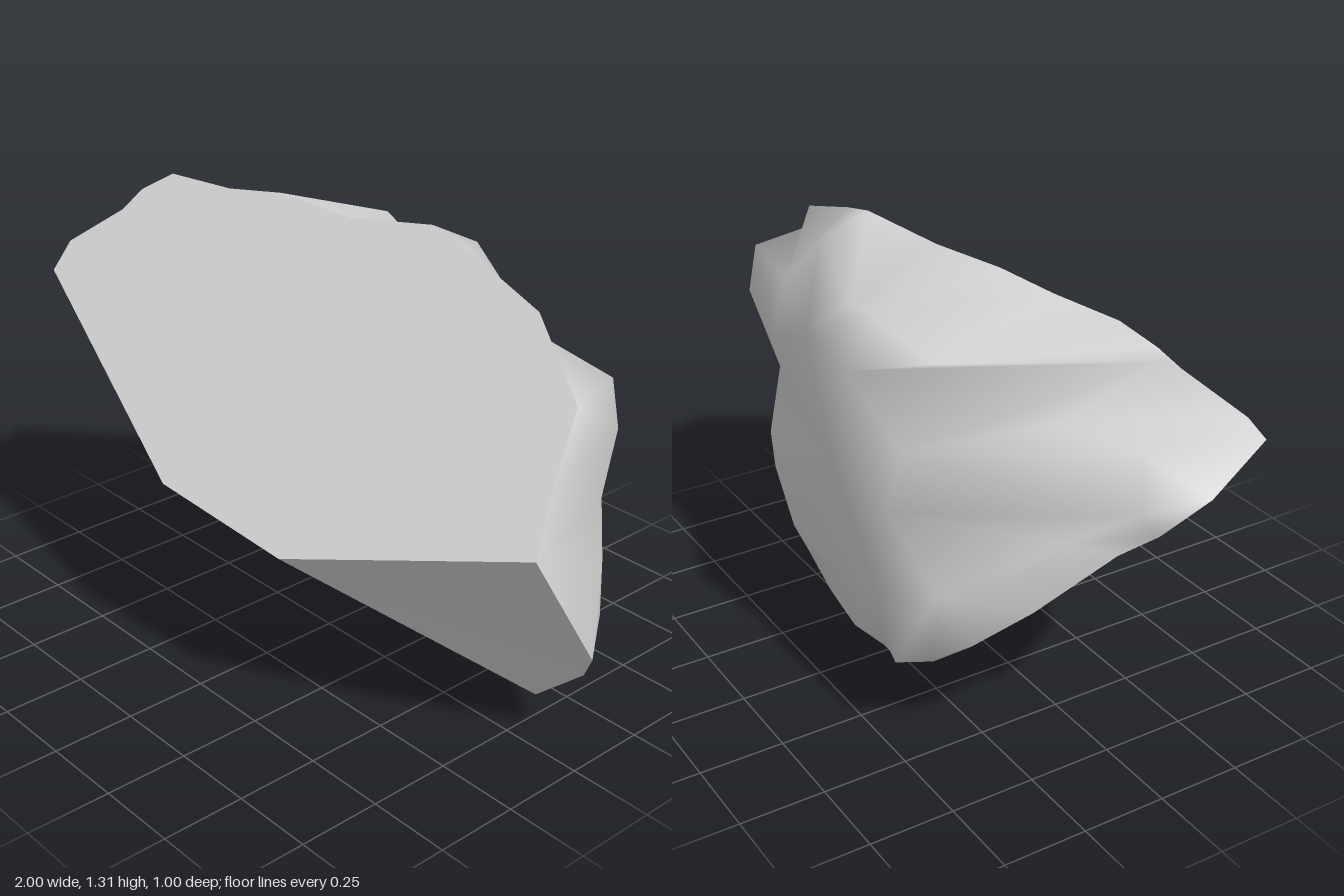
import * as THREE from 'three';

const stone = new THREE.MeshStandardMaterial({ color: 0xd9d9d9 });
stone.name = 'stone grey';

// Cut planes z = a + b x + c y
const PLANES = {
  top: [0.971, -0.163, -0.845],
  left: [-0.38, 1.043, 1.73],
  middle: [-0.286, 0.092, 1.333],
  right: [0.3, -0.556, 0.626],
};
const onPlane = (name, pts) => {
  const [a, b, c] = PLANES[name];
  return pts.map(([x, y]) => [x, y, a + b * x + c * y]);
};

function meshFrom(name, points, index) {
  const g = new THREE.BufferGeometry();
  g.setAttribute('position', new THREE.Float32BufferAttribute(points.flat(), 3));
  g.setIndex(index);
  g.computeVertexNormals();
  const mesh = new THREE.Mesh(g, stone);
  mesh.name = name;
  return mesh;
}

// Flat facet: counter-clockwise outline seen from the front
function facet(name, pts) {
  const outline = pts.map(([x, y]) => new THREE.Vector2(x, y));
  return meshFrom(name, pts, THREE.ShapeUtils.triangulateShape(outline, []).flat());
}

// Join two loops of different counts by their angle around the middle
function zip(points, outer, inner, index) {
  const angle = (loop, k) => {
    const [x, y] = points[loop[k % loop.length]];
    const turn = 2 * Math.PI;
    return ((Math.atan2(y - 0.68, x) + 0.2 + turn) % turn) + (k >= loop.length ? turn : 0);
  };
  let i = 0, j = 0;
  while (i < outer.length || j < inner.length) {
    const a = outer[i % outer.length], b = inner[j % inner.length];
    const stepOuter = j >= inner.length ||
      (i < outer.length && angle(outer, i + 1) <= angle(inner, j + 1));
    if (stepOuter) index.push(a, b, outer[++i % outer.length]);
    else index.push(a, b, inner[++j % inner.length]);
  }
}

export function createModel() {
  const group = new THREE.Group();
  group.name = 'rock';

  // Rim stretches, counter-clockwise seen from the front
  const topRim = onPlane('top', [
    [0.995, 0.72], [0.94, 0.86], [0.89, 1.03], [0.66, 1.19], [0.36, 1.28], [0.23, 1.31],
    [-0.03, 1.28], [-0.3, 1.295], [-0.48, 1.275], [-0.71, 1.275], [-0.79, 1.22],
    [-0.82, 1.16], [-0.95, 1.05], [-0.95, 0.97]]);
  const leftRim = onPlane('left', [
    [-1, 0.88], [-0.94, 0.78], [-0.84, 0.69], [-0.73, 0.52], [-0.6, 0.38],
    [-0.48, 0.28], [-0.2, 0.13], [-0.08, 0.08], [0.12, 0]]);
  const middleRim = onPlane('middle', [[0.4, 0], [0.47, 0.035], [0.6, 0.07], [0.79, 0.11]]);
  const rightRim = onPlane('right', [[0.95, 0.25], [0.995, 0.33]]);

  // Front corners where the cuts meet
  const cornerA = [-0.15, 0.595, 0.495];
  const cornerB = [0.32, 0.54, 0.463];

  group.add(
    facet('upperCut', [...topRim, cornerA, cornerB]),
    facet('lowerLeftCut', [topRim.at(-1), ...leftRim, cornerA]),
    facet('lowerMiddleCut', [cornerA, leftRim.at(-1), ...middleRim, cornerB]),
    facet('lowerRightCut', [cornerB, middleRim.at(-1), ...rightRim, topRim[0]]),
  );

  // Smooth weathered back: rim, shoulder ring, inner ring, middle
  const loops = [
    [...topRim, ...leftRim, ...middleRim, ...rightRim],
    [[0.96, 0.6, -0.1], [0.91, 0.75, -0.14], [0.84, 0.88, -0.275], [0.83, 1.03, -0.25],
      [0.5, 1.04, -0.31], [0.27, 1.24, -0.31], [0.02, 1.14, -0.35], [-0.19, 1.195, -0.4],
      [-0.42, 1.13, -0.35], [-0.83, 1.2, 0.05], [-0.7, 1.03, -0.17], [-0.87, 0.98, -0.02],
      [-0.92, 0.84, -0.055], [-0.76, 0.72, -0.17], [-0.6, 0.57, -0.455], [-0.43, 0.28, -0.485],
      [-0.22, 0.2, -0.4], [-0.02, 0.14, -0.39], [0.25, 0.1, -0.33], [0.45, 0.13, -0.3],
      [0.6, 0.18, -0.26], [0.82, 0.3, -0.2], [0.95, 0.42, -0.12]],
    [[0.57, 0.73, -0.31], [0.44, 0.9, -0.395], [0.2, 1.0, -0.4], [-0.22, 1.07, -0.5],
      [-0.42, 0.91, -0.45], [-0.4, 0.73, -0.485], [-0.3, 0.4, -0.455], [0, 0.32, -0.41],
      [0.35, 0.3, -0.395], [0.45, 0.46, -0.4], [0.6, 0.5, -0.34]],
  ];
  const points = [], index = [];
  const ids = loops.map((loop) => loop.map((p) => points.push(p) - 1));
  zip(points, ids[0], ids[1], index);
  zip(points, ids[1], ids[2], index);
  const middle = points.push([0, 0.68, -0.43]) - 1;
  ids[2].forEach((a, k) => index.push(a, middle, ids[2][(k + 1) % ids[2].length]));
  group.add(meshFrom('weatheredBack', points, index));

  return group;
}
